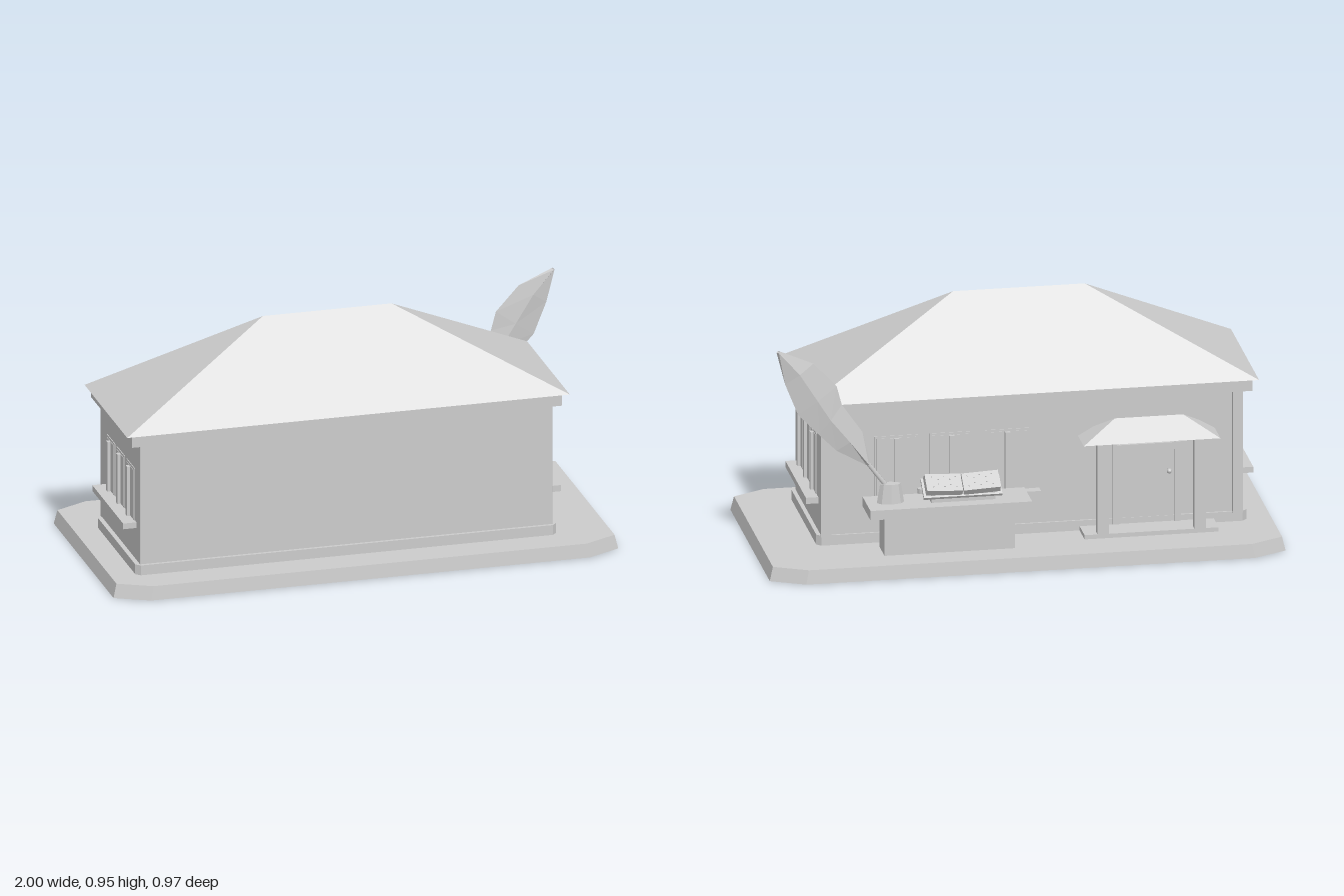
import * as THREE from 'three';
import { ConvexGeometry } from 'three/addons/geometries/ConvexGeometry.js';

export function createModel() {
  const model = new THREE.Group();
  const stone = new THREE.MeshStandardMaterial({ color: 0xcccccc });
  stone.name = 'light grey';
  stone.side = THREE.DoubleSide;

  function add(name, geometry, parent = model) {
    const mesh = new THREE.Mesh(geometry, stone);
    mesh.name = name;
    parent.add(mesh);
    return mesh;
  }
  // box given by its limits along each axis
  function box(name, x0, x1, y0, y1, z0, z1, parent) {
    const g = new THREE.BoxGeometry(x1 - x0, y1 - y0, z1 - z0);
    g.translate((x0 + x1) / 2, (y0 + y1) / 2, (z0 + z1) / 2);
    return add(name, g, parent);
  }
  // rectangle with cut corners, in plan, anticlockwise seen from above
  function plan(x0, x1, z0, z1, cx, cz) {
    return [[x0 + cx, z1], [x1 - cx, z1], [x1, z1 - cz], [x1, z0 + cz],
      [x1 - cx, z0], [x0 + cx, z0], [x0, z0 + cz], [x0, z1 - cz]];
  }
  // flat-shaded skin through rings of [x, y, z] points, without end caps
  function loft(name, rings) {
    const tri = [];
    for (let i = 0; i < rings.length - 1; i++) {
      const n = rings[i].length;
      for (let j = 0; j < n; j++) {
        const k = (j + 1) % n;
        const a = rings[i][j], b = rings[i][k], c = rings[i + 1][k], d = rings[i + 1][j];
        tri.push(...a, ...b, ...c, ...a, ...c, ...d);
      }
    }
    const g = new THREE.BufferGeometry();
    g.setAttribute('position', new THREE.Float32BufferAttribute(tri, 3));
    g.computeVertexNormals();
    return add(name, g);
  }
  const ring = (points, y, k = 1) => points.map(([x, z]) => [x * k, y, z * k]);
  // flat horizontal face with an optional hole
  function face(name, points, y, up, hole) {
    const vec = (list) => list.map(([x, z]) => new THREE.Vector2(x, up ? -z : z));
    const shape = new THREE.Shape(vec(points));
    if (hole) shape.holes.push(new THREE.Path(vec(hole)));
    const g = new THREE.ShapeGeometry(shape);
    g.rotateX(up ? -Math.PI / 2 : Math.PI / 2);
    return add(name, g.translate(0, y, 0));
  }
  function hipRoof(name, x0, x1, z0, z1, r0, r1, y0, y1) {
    const zr = (z0 + z1) / 2;
    const p = [[x0, y0, z0], [x1, y0, z0], [x0, y0, z1], [x1, y0, z1], [r0, y1, zr], [r1, y1, zr]];
    return add(name, new ConvexGeometry(p.map((v) => new THREE.Vector3(...v))));
  }
  // footprint of house and porch, shrunk by d
  function footprint(d) {
    const x0 = -0.889 + d, x1 = 0.777 - d, z0 = -0.207 + d, z1 = 0.353 - d, c = 0.018;
    return [[x0 + c, z1], [x1 - c, z1], [x1, z1 - c], [x1, z0 + c], [x1 - c, z0],
      [-0.25 - d, z0], [-0.25 - d, -0.31 + d], [-0.75 + d, -0.31 + d], [-0.75 + d, z0],
      [x0 + c, z0], [x0, z0 + c], [x0, z1 - c]];
  }

  // tapered base, open where the house foot drops in
  const outline = plan(-1, 1, -0.487, 0.487, 0.13, 0.065);
  const opening = footprint(0);
  const baseTop = 0.055, taper = 0.987;
  loft('baseEdge', [ring(outline, 0), ring(outline, baseTop, taper)]);
  loft('baseOpening', [ring(opening, baseTop), ring(opening, 0)]);
  face('baseTop', outline.map(([x, z]) => [x * taper, z * taper]), baseTop, true, opening);
  face('baseUnderside', outline, 0, false, opening);

  // house foot, seen from below with a pocket behind the porch
  const foot = footprint(0.024);
  const pocket = plan(-0.66, -0.36, -0.255, -0.19, 0.005, 0.005);
  loft('footEdge', [ring(foot, 0), ring(foot, baseTop)]);
  face('footUnderside', foot, 0, false, pocket);
  loft('footPocket', [ring(pocket, 0.05), ring(pocket, 0)]);
  face('pocketTop', pocket, 0.05, false);

  // plinth, walls and cornice as one stepped skin
  const plinth = plan(-0.89, 0.778, -0.208, 0.354, 0.018, 0.018);
  const walls = plan(-0.872, 0.762, -0.2, 0.341, 0.001, 0.001);
  const cornice = plan(-0.91, 0.795, -0.216, 0.36, 0.001, 0.001);
  loft('houseBody', [ring(plinth, 0.055), ring(plinth, 0.095), ring(walls, 0.095),
    ring(walls, 0.58), ring(cornice, 0.58), ring(cornice, 0.627)]);
  hipRoof('roof', -0.932, 0.822, -0.23, 0.373, -0.31, 0.2, 0.627, 0.953);
  for (const x of [-0.873, 0.723]) box('cornerPost', x, x + 0.04, 0.09, 0.585, -0.214, -0.195);

  // flat window with a free-standing upright, facing +z, origin at its foot
  function windowUnit(w, h) {
    const g = new THREE.Group();
    g.name = 'window';
    box('frame', -w / 2, w / 2, 0, h, -0.002, 0.003, g);
    box('pane', -w / 2 + 0.009, w / 2 - 0.009, 0.008, h - 0.009, -0.002, 0.005, g);
    box('upright', -0.01, 0.01, 0.005, h - 0.009, 0.006, 0.018, g);
    return g;
  }
  function place(g, x, y, z, turn) {
    g.position.set(x, y, z);
    g.rotation.y = turn;
    model.add(g);
  }
  for (const i of [-1, 0, 1]) {
    const z = 0.073 + i * 0.139;
    place(windowUnit(0.114, 0.245), 0.762, 0.233, z, Math.PI / 2);
    place(windowUnit(0.114, 0.215), -0.872, 0.245, z, -Math.PI / 2);
    place(windowUnit(0.17, 0.245), 0.255 + i * 0.215, 0.235, -0.2, Math.PI);
  }
  box('leftSill', 0.758, 0.81, 0.205, 0.23, -0.145, 0.29);
  box('rightSill', -0.925, -0.868, 0.225, 0.248, -0.145, 0.29);
  box('backSill', -0.085, 0.59, 0.197, 0.235, -0.24, -0.197);
  for (const x of [0.115, 0.25, 0.38]) {
    add('sillPot', new THREE.CylinderGeometry(0.013, 0.01, 0.035, 8))
      .position.set(x, 0.252, -0.225);
  }

  // porch and door
  box('porchStep', -0.76, -0.24, 0.052, 0.072, -0.315, -0.2);
  for (const s of [-1, 1]) {
    const x = -0.5 + s * 0.188;
    box('porchPost', x - 0.022, x + 0.022, 0.07, 0.44, -0.318, -0.28);
    const j = -0.5 + s * 0.12;
    box('doorJamb', j - 0.012, j + 0.012, 0.07, 0.4, -0.214, -0.197);
  }
  box('doorHead', -0.632, -0.368, 0.365, 0.392, -0.217, -0.197);
  box('door', -0.61, -0.39, 0.07, 0.37, -0.206, -0.197);
  add('doorKnob', new THREE.SphereGeometry(0.01, 8, 6)).position.set(-0.585, 0.28, -0.226);
  box('knobStem', -0.588, -0.582, 0.277, 0.283, -0.226, -0.2);
  hipRoof('porchRoof', -0.765, -0.235, -0.326, -0.163, -0.635, -0.37, 0.435, 0.512);

  // desk
  box('deskTop', -0.022, 0.605, 0.212, 0.25, -0.397, -0.228);
  box('deskPedestal', 0.04, 0.545, 0.055, 0.212, -0.367, -0.26);

  // open book, leaning towards the back
  const book = new THREE.Group();
  book.name = 'book';
  book.position.set(0.237, 0.308, -0.32);
  book.rotation.x = -0.62;
  model.add(book);
  box('bookCover', -0.152, 0.152, -0.022, -0.01, -0.046, 0.046, book);
  for (const s of [-1, 1]) {
    const half = new THREE.Group();
    half.name = 'bookHalf';
    half.rotation.z = s * 0.08;
    book.add(half);
    box('pages', Math.min(s * 0.003, s * 0.144), Math.max(s * 0.003, s * 0.144), -0.012, 0.016, -0.04, 0.04, half);
    for (let i = 0; i < 10; i++) {
      const dot = add('pageDot', new THREE.CylinderGeometry(0.003, 0.003, 0.004, 6), half);
      dot.position.set(s * (0.025 + (i % 5) * 0.023), 0.017, (i < 5 ? -0.02 : 0.015) + (i % 2) * 0.012);
    }
  }
  box('bookRest', 0.11, 0.36, 0.25, 0.285, -0.345, -0.3);

  // ink pot
  const pot = add('inkPot', new THREE.CylinderGeometry(0.04, 0.053, 0.076, 8).toNonIndexed());
  pot.geometry.computeVertexNormals();
  pot.scale.z = 0.52;
  pot.position.set(0.512, 0.288, -0.31);

  // quill: shaft, then a flat blade thickened along its spine
  const quillZ = -0.308;
  const nib = new THREE.Vector3(0.515, 0.3, quillZ);
  const tip = new THREE.Vector3(0.65, 0.48, quillZ);
  const shaft = add('quillShaft', new THREE.CylinderGeometry(0.008, 0.01, nib.distanceTo(tip), 6));
  shaft.position.copy(nib).lerp(tip, 0.5);
  shaft.quaternion.setFromUnitVectors(new THREE.Vector3(0, 1, 0), tip.clone().sub(nib).normalize());

  const rows = [[0.59, 0.415, 0.605, 0.405], [0.62, 0.54, 0.72, 0.47], [0.7, 0.655, 0.79, 0.54],
    [0.72, 0.73, 0.87, 0.625], [0.81, 0.828, 0.92, 0.75], [0.94, 0.885, 0.953, 0.88]];
  loft('quillBlade', rows.map(([lx, ly, rx, ry]) => {
    const mx = (lx + rx) / 2, my = (ly + ry) / 2;
    return [[lx, ly, quillZ], [mx, my, quillZ + 0.013], [rx, ry, quillZ], [mx, my, quillZ - 0.013]];
  }));

  return model;
}
